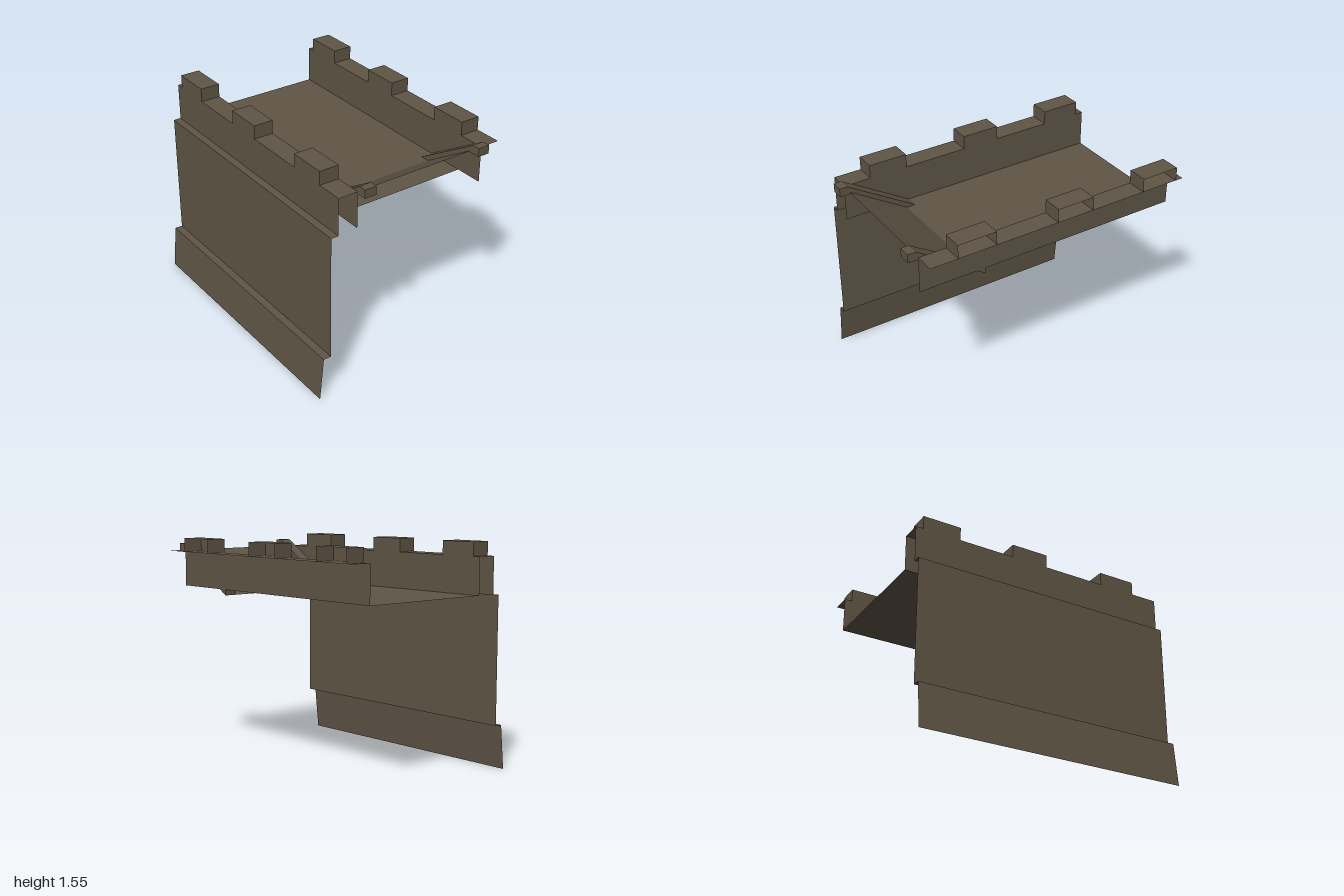
import * as THREE from 'three';

const X0 = -1, X1 = 0.93;          // ends of the wall section
const TOP = 1.46, FLOOR = 1.205;   // walkway levels
const BACK = -0.503, FRONT = 0.477; // inner faces of the two parapets
const BACK_OUT = -0.645, FRONT_OUT = 0.617;

export function createModel() {
  const model = new THREE.Group();
  const stone = new THREE.MeshStandardMaterial({ color: 0x5f5545, side: THREE.DoubleSide });
  stone.name = 'brownStone';

  const add = (name, geometry, parent = model) => {
    const mesh = new THREE.Mesh(geometry, stone);
    mesh.name = name;
    parent.add(mesh);
    return mesh;
  };

  // Flat quads, corners counter-clockwise from the front
  const quads = (list) => {
    const pos = [];
    for (const [a, b, c, d] of list) pos.push(...a, ...b, ...c, ...a, ...c, ...d);
    const g = new THREE.BufferGeometry();
    g.setAttribute('position', new THREE.Float32BufferAttribute(pos, 3));
    g.computeVertexNormals();
    return g;
  };

  // Thin folded sheet: a [z, y] profile swept along x
  const sheet = (profile, x0, x1) => quads(profile.slice(1).map(([z, y], i) => {
    const [pz, py] = profile[i];
    return [[x0, py, pz], [x0, y, z], [x1, y, z], [x1, py, pz]];
  }));

  // Walls and walkway
  add('backParapet', sheet([[BACK_OUT, TOP], [BACK, TOP], [BACK, FLOOR]], X0, X1));
  add('walkway', sheet([[BACK, FLOOR], [FRONT, FLOOR]], X0, 0.73));
  add('frontWall', sheet([
    [FRONT, FLOOR], [FRONT, TOP], [FRONT_OUT, TOP],   // inner parapet and its top
    [FRONT_OUT, 1.2], [0.67, 1.2],                    // upper band and ledge
    [0.67, 0.31], [0.725, 0.31], [0.755, 0],          // main face, ledge, flared foot
  ], X0, X1));

  // Merlons: open at the bottom, the back row also open on its outer side
  const merlon = (x0, x1, z0, z1, hasBack) => {
    const b = TOP, t = 1.555;
    const faces = [
      [[x0, t, z0], [x0, t, z1], [x1, t, z1], [x1, t, z0]],
      [[x0, b, z1], [x1, b, z1], [x1, t, z1], [x0, t, z1]],
      [[x0, b, z0], [x0, b, z1], [x0, t, z1], [x0, t, z0]],
      [[x1, b, z1], [x1, b, z0], [x1, t, z0], [x1, t, z1]],
    ];
    if (hasBack) faces.push([[x1, b, z0], [x0, b, z0], [x0, t, z0], [x1, t, z0]]);
    return quads(faces);
  };
  const merlons = new THREE.Group();
  merlons.name = 'merlons';
  model.add(merlons);
  for (const [x0, x1] of [[-0.945, -0.67], [-0.265, 0.005], [0.46, 0.735]]) {
    add('frontMerlon', merlon(x0, x1, FRONT, FRONT_OUT, true), merlons);
    add('backMerlon', merlon(x0, x1, BACK_OUT, BACK, false), merlons);
  }

  // Sloping ramp that cuts through the walkway and rises to the open end
  add('ramp', quads([[
    [0.455, 1.165, BACK], [0.455, 1.165, FRONT], [X1, TOP, FRONT], [X1, TOP, BACK],
  ]]));

  // Side rails on the ramp, each ending in a short level hook
  const side = new THREE.Shape([
    [0.455, 1.165], [0.905, 1.445], [1, 1.445], [1, 1.505], [0.945, 1.505], [0.455, 1.205],
  ].map(([x, y]) => new THREE.Vector2(x, y)));
  for (const z of [-0.502, 0.391]) {
    const rail = new THREE.ExtrudeGeometry(side, { depth: 0.085, bevelEnabled: false });
    add('rampRail', rail).position.z = z;
  }

  return model;
}
